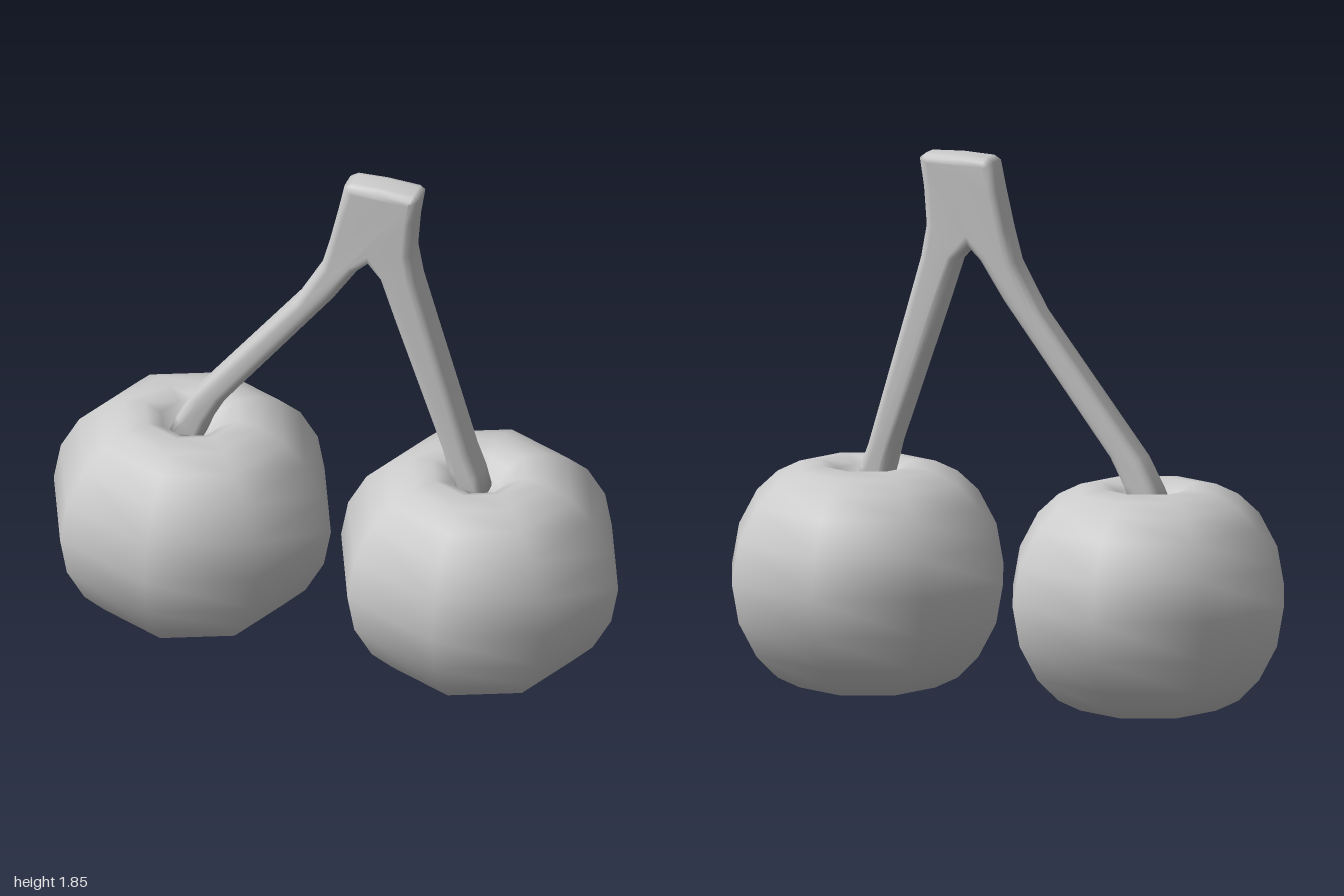
import * as THREE from 'three';
import { mergeVertices } from 'three/addons/utils/BufferGeometryUtils.js';

const material = new THREE.MeshStandardMaterial({ color: 0xcccccc });

// Eight-sided fruit with a dimple at both poles
function createCherry(name, x) {
  const profile = [
    [0, 0.07], [0.06, 0.055], [0.11, 0.015], [0.165, 0], [0.245, 0.015], [0.325, 0.055],
    [0.4, 0.13], [0.465, 0.25], [0.49, 0.385], [0.465, 0.52], [0.4, 0.64],
    [0.325, 0.71], [0.245, 0.75], [0.165, 0.762], [0.11, 0.735], [0.07, 0.69], [0, 0.67],
  ].map(([r, y]) => new THREE.Vector2(r, y));
  const cherry = new THREE.Mesh(new THREE.LatheGeometry(profile, 8), material);
  cherry.name = name;
  cherry.position.x = x;
  return cherry;
}

// Forked stem: one outline, extruded with rounded edges
function createStem() {
  const outline = [
    [-0.585, 0.68], [-0.55, 0.76], [-0.495, 0.86], [-0.13, 1.33], [-0.04, 1.49],
    [-0.01, 1.6], [0.02, 1.73], [0.04, 1.825], [0.065, 1.84], [0.17, 1.845],
    [0.285, 1.84], [0.305, 1.825], [0.29, 1.73], [0.28, 1.6], [0.3, 1.49],
    [0.355, 1.3], [0.49, 0.84], [0.52, 0.76], [0.54, 0.68],
    [0.432, 0.68], [0.41, 0.76], [0.39, 0.84], [0.22, 1.33], [0.17, 1.48],
    [0.127, 1.53], [0.085, 1.49], [0, 1.36], [-0.385, 0.855], [-0.435, 0.76], [-0.465, 0.68],
  ].map(([x, y]) => new THREE.Vector2(x, y));
  const depth = 0.056;
  const bevel = 0.03;
  let geometry = new THREE.ExtrudeGeometry(new THREE.Shape(outline), {
    depth,
    bevelEnabled: true,
    bevelThickness: bevel,
    bevelSize: bevel,
    bevelOffset: -bevel,
    bevelSegments: 3,
  });
  geometry.translate(0, 0, -depth / 2);

  // Weld the corners for smooth shading
  geometry.deleteAttribute('normal');
  geometry.deleteAttribute('uv');
  geometry = mergeVertices(geometry, 1e-4);
  geometry.computeVertexNormals();

  const stem = new THREE.Mesh(geometry, material);
  stem.name = 'forkedStem';
  return stem;
}

export function createModel() {
  const group = new THREE.Group();
  group.name = 'cherryPair';
  group.add(createCherry('rightCherry', -0.508), createCherry('leftCherry', 0.508), createStem());
  return group;
}
